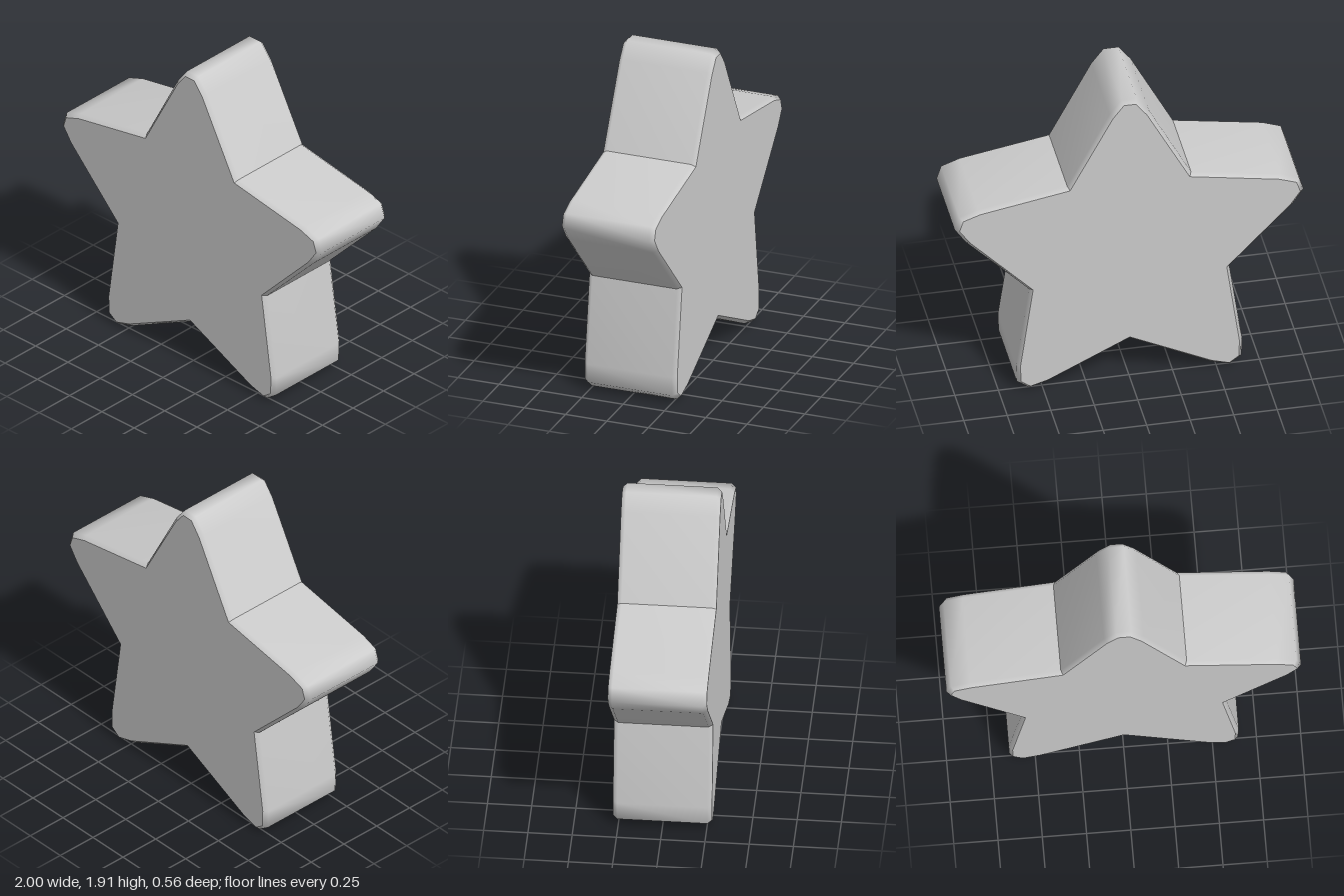
import * as THREE from 'three';
import { mergeGeometries } from 'three/addons/utils/BufferGeometryUtils.js';

const CENTRE_Y = 0.866;
// One upright arm from its right notch over the blunt tip to its left notch
const notch = (r) => [r * Math.sin(Math.PI / 5), r * Math.cos(Math.PI / 5)];
const mirrorArm = (half) => [...half, ...half.slice().reverse().map(([x, y]) => [-x, y])];
const OUTER = mirrorArm([notch(0.605), [0.113, 0.95], [0.043, 1.04]]);
const INSET = mirrorArm([notch(0.585), [0.098, 0.935], [0.034, 1.018]]);

// Rings from back to front: the edges are chamfered on both faces
const RINGS = [[INSET, -0.28], [OUTER, -0.255], [OUTER, 0.255], [INSET, 0.28]];

function armWall() {
  const n = OUTER.length;
  const pos = RINGS.flatMap(([pts, z]) => pts.flatMap(([x, y]) => [x, y, z]));
  const index = [];
  for (let r = 0; r < RINGS.length - 1; r++) {
    for (let i = 0; i < n - 1; i++) {
      const a = r * n + i, b = a + 1, c = a + n, d = c + 1;
      index.push(a, b, d, a, d, c);
    }
  }
  const g = new THREE.BufferGeometry();
  g.setAttribute('position', new THREE.Float32BufferAttribute(pos, 3));
  g.setIndex(index);
  g.computeVertexNormals();
  return g;
}

function starFace() {
  const pts = [];
  for (let k = 0; k < 5; k++) {
    // the last point of each arm is the first of the next
    for (const [x, y] of INSET.slice(0, -1)) {
      pts.push(new THREE.Vector2(x, y).rotateAround(new THREE.Vector2(), (k * 2 * Math.PI) / 5));
    }
  }
  const g = new THREE.ShapeGeometry(new THREE.Shape(pts));
  g.deleteAttribute('uv');
  return g;
}

export function createModel() {
  const group = new THREE.Group();
  group.name = 'star';
  const parts = [];

  // Five arms, smooth round the tips and creased at the notches
  for (let k = 0; k < 5; k++) parts.push(armWall().rotateZ((k * 2 * Math.PI) / 5));

  // Flat front and back faces
  parts.push(starFace().translate(0, 0, 0.28));
  parts.push(starFace().rotateY(Math.PI).translate(0, 0, -0.28));

  const body = new THREE.Mesh(
    mergeGeometries(parts),
    new THREE.MeshStandardMaterial({ color: 0xcccccc })
  );
  body.name = 'starBody';
  body.position.y = CENTRE_Y;
  group.add(body);
  return group;
}
